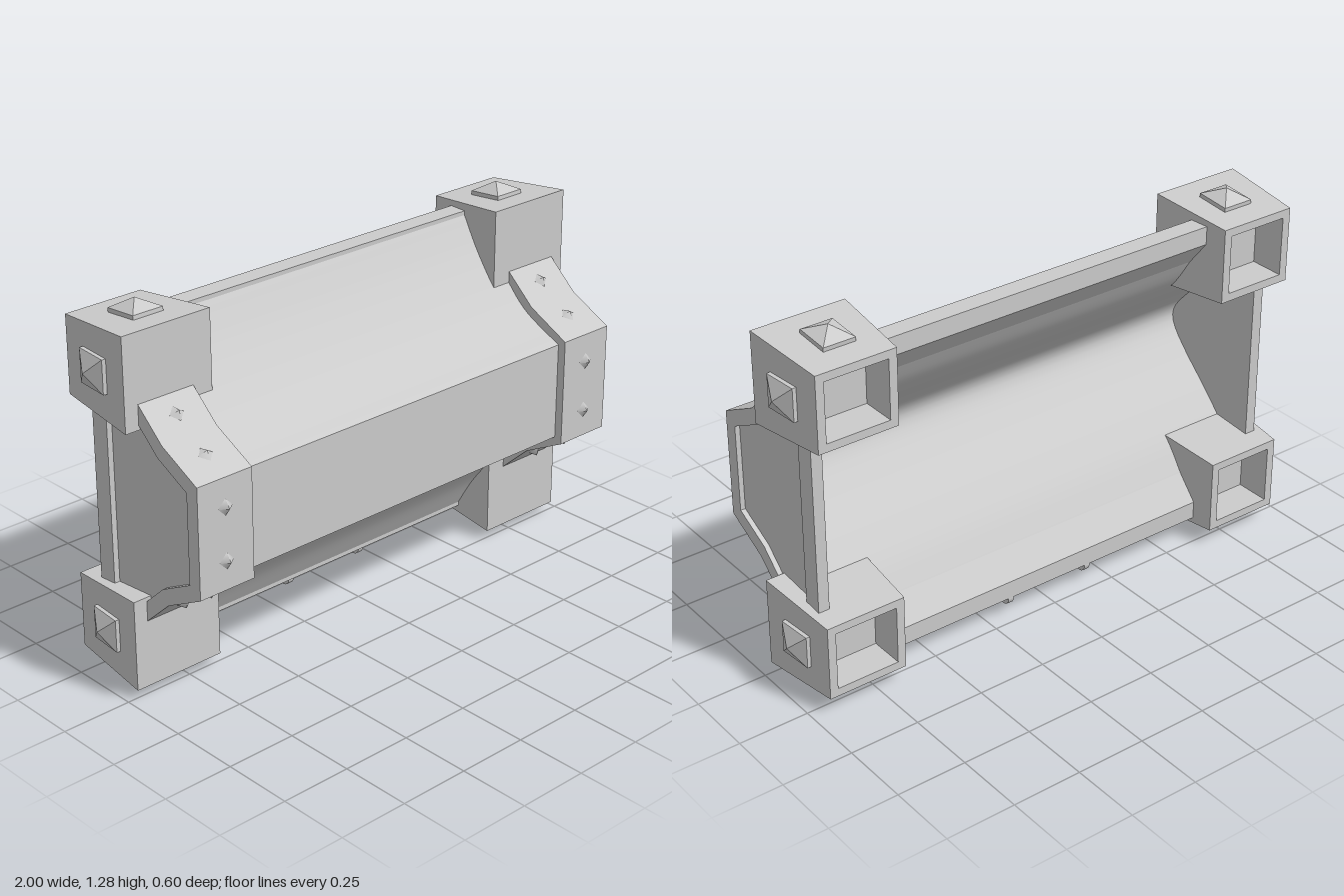
import * as THREE from 'three';
import { toCreasedNormals } from 'three/addons/utils/BufferGeometryUtils.js';

const MID = 0.646; // height of the horizontal mirror plane
const material = new THREE.MeshStandardMaterial({ color: 0xcccccc, side: THREE.DoubleSide });

function addMesh(parent, name, geometry, x = 0, y = 0, z = 0) {
  const mesh = new THREE.Mesh(geometry, material);
  mesh.name = name;
  mesh.position.set(x, y, z);
  parent.add(mesh);
  return mesh;
}

// Upper half profile of [z, y] points, continued as its mirror image below
const mirrored = (pts) => [...pts, ...pts.map(([z, y]) => [z, 2 * MID - y]).reverse()];

// Smooth curve through [z, y] points
const smooth = (pts) => new THREE.SplineCurve(pts.map((p) => new THREE.Vector2(...p)))
  .getPoints(28).map((p) => [p.x, p.y]);

// Extrudes a z-y outline along x, centred on x = 0
function extrudeAlongX(points, width) {
  const shape = new THREE.Shape(points.map(([z, y]) => new THREE.Vector2(z, y)));
  const geo = new THREE.ExtrudeGeometry(shape, { depth: width, bevelEnabled: false });
  geo.translate(0, 0, -width / 2).rotateY(-Math.PI / 2);
  return toCreasedNormals(geo, 0.4);
}

// Rectangular rings [halfWidth, halfHeight, z], skinned from front to back
function loft(rings) {
  const corners = [[-1, -1], [1, -1], [1, 1], [-1, 1]];
  const pos = [];
  const at = ([w, h, z], i) => [corners[i % 4][0] * w, corners[i % 4][1] * h, z];
  for (let r = 0; r < rings.length - 1; r++) {
    const a = rings[r], b = rings[r + 1];
    for (let i = 0; i < 4; i++) {
      if (b[0] > 0) pos.push(...at(a, i), ...at(b, i), ...at(b, i + 1));
      if (a[0] > 0) pos.push(...at(a, i), ...at(b, i + 1), ...at(a, i + 1));
    }
  }
  const geo = new THREE.BufferGeometry();
  geo.setAttribute('position', new THREE.Float32BufferAttribute(pos, 3));
  geo.computeVertexNormals();
  return geo;
}

// Pyramid on a low square base, pointing along +z
const stud = (w, h) => loft([[0, 0, 0.046], [w, h, 0.014], [w, h, -0.01]]);

// Turns a mesh so that its +z axis points along the given direction
function face(mesh, x, y, z) {
  const dir = new THREE.Vector3(x, y, z).normalize();
  mesh.quaternion.setFromUnitVectors(new THREE.Vector3(0, 0, 1), dir);
}

export function createModel() {
  const model = new THREE.Group();
  model.name = 'chestLid';

  // Curved lid shell: flat front outside, one shallow hollow inside
  const outer = mirrored(smooth([[-0.15, 1.2], [-0.08, 1.09], [0.01, 0.98], [0.1, 0.895], [0.25, 0.82]]));
  const hollow = smooth(mirrored([[-0.15, 1.06], [-0.085, 0.96], [0.01, 0.86], [0.11, 0.765], [0.18, 0.68]]));
  addMesh(model, 'lidShell', extrudeAlongX([...outer, ...hollow.reverse()], 1.77));

  // Horizontal rims between the corner blocks, flush with the hollow
  const rim = [[-0.22, 1.215], [-0.15, 1.215], [-0.15, 1.06], [-0.22, 1.15]];
  addMesh(model, 'topRim', extrudeAlongX(rim, 1.34));
  addMesh(model, 'bottomRim', extrudeAlongX(rim.map(([z, y]) => [z, 2 * MID - y]), 1.34));

  // Small hinge knobs under the lower rim
  for (const x of [-0.165, 0.163]) {
    const knob = new THREE.CylinderGeometry(0.028, 0.028, 0.022, 16);
    addMesh(model, 'hingeKnob', knob.rotateZ(Math.PI / 2), x, 0.071, -0.19);
  }

  const bandGeo = extrudeAlongX([
    ...mirrored([[0.01, 1.02], [0.12, 0.92], [0.28, 0.838]]),
    ...mirrored([[0.01, 0.95], [0.095, 0.872], [0.23, 0.803]]).reverse(),
  ], 0.215);
  const panelGeo = extrudeAlongX(outer, 0.02);
  const rivetGeo = new THREE.ConeGeometry(0.03, 0.022, 4).rotateX(Math.PI / 2);
  const endStudGeo = stud(0.063, 0.058);
  const edgeStudGeo = stud(0.058, 0.063);
  // Tapered block with a square pocket in its back
  const blockGeo = loft([
    [0, 0, 0.01], [0.17, 0.16, 0.01], [0.145, 0.134, -0.302],
    [0.115, 0.105, -0.302], [0.115, 0.105, -0.175], [0, 0, -0.175],
  ]);

  for (const sx of [-1, 1]) {
    const end = new THREE.Group();
    end.name = sx > 0 ? 'leftEnd' : 'rightEnd';
    model.add(end);

    addMesh(end, 'endPanel', panelGeo, sx * 0.89);
    addMesh(end, 'sideRim', new THREE.BoxGeometry(0.04, 0.66, 0.07), sx * 0.9, MID, -0.185);
    addMesh(end, 'band', bandGeo, sx * 0.81);

    for (const sy of [-1, 1]) {
      // Band rivets: position z, y and outward normal z, y
      for (const [z, y, nz, ny] of [
        [0.29, 0.738, 1, 0], [0.196, 0.891, 0.447, 0.894], [0.066, 0.981, 0.673, 0.74],
      ]) {
        const rivet = addMesh(end, 'rivet', rivetGeo, sx * 0.81, MID + sy * (y - MID), z);
        face(rivet, 0, sy * ny, nz);
      }

      // Corner block with pyramid studs on its two outer faces
      const corner = new THREE.Group();
      corner.name = 'cornerBlock';
      corner.position.set(sx * 0.798, MID + sy * 0.449, 0);
      end.add(corner);
      addMesh(corner, 'block', blockGeo);
      face(addMesh(corner, 'endStud', endStudGeo, sx * 0.1575, 0, -0.145), sx, 0, -0.08);
      face(addMesh(corner, 'edgeStud', edgeStudGeo, sx * -0.005, sy * 0.1475, -0.145), 0, sy, -0.08);
    }
  }
  return model;
}
